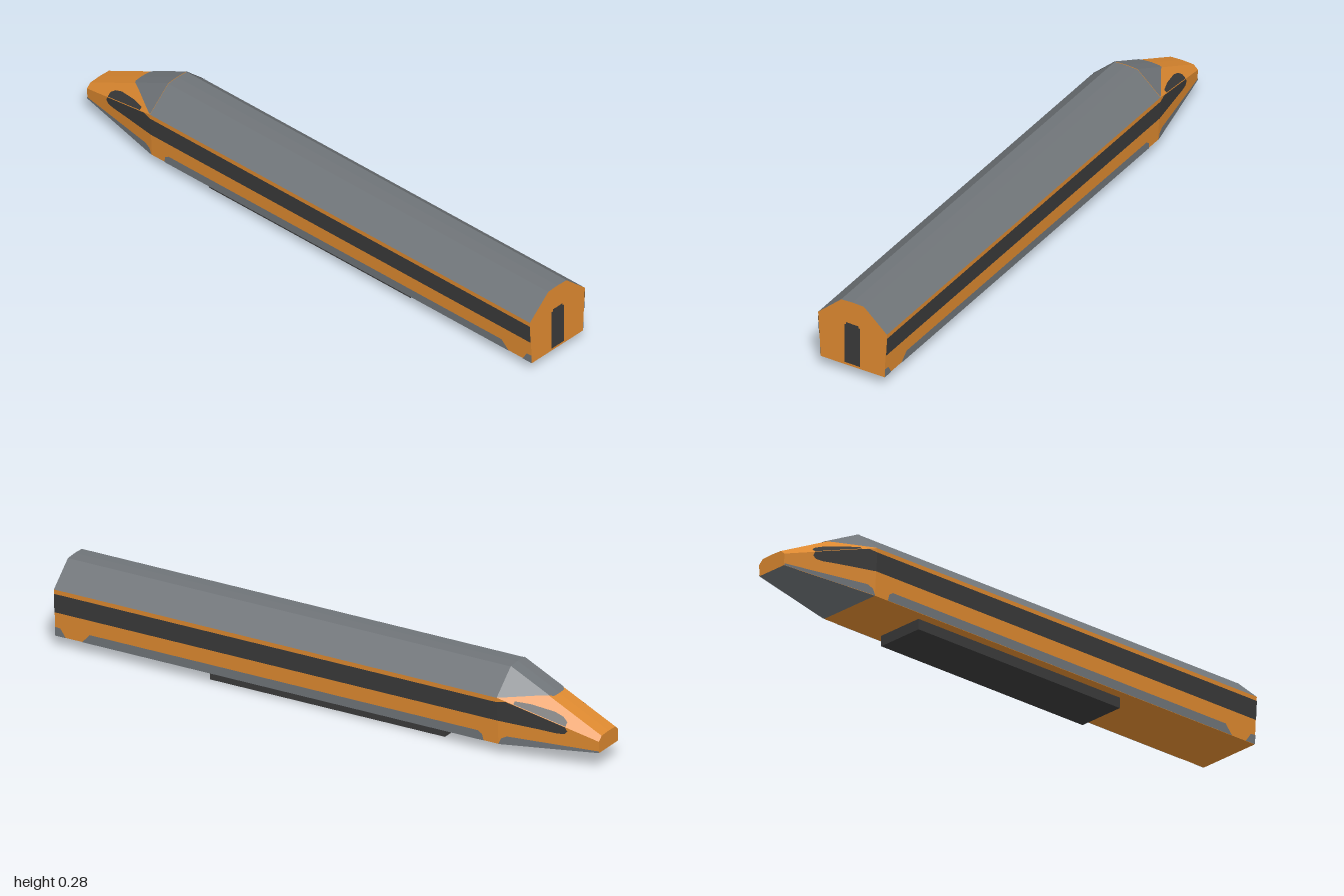
import * as THREE from 'three';

const orange = new THREE.MeshStandardMaterial({ name: 'orange', color: 0xdc882f, side: THREE.DoubleSide });
const grey = new THREE.MeshStandardMaterial({ name: 'grey', color: 0x6f7478, side: THREE.DoubleSide });
const dark = new THREE.MeshStandardMaterial({ name: 'charcoal', color: 0x393939, side: THREE.DoubleSide });

const NOSE = -0.66; // z where the body ends and the nose begins
const taper = z => Math.max(0, (NOSE - z) / 0.34);

// Planes of the right-hand facets; the nose facets lean in with the taper
const sideX = (y, z) => 0.12 + 0.0606 * (y - 0.038) - 0.0638 * taper(z);
const slopeY = (x, z) => 0.203 + 0.885 * (0.13 - x) - 0.165 * taper(z);
const crownY = (x, z) => 0.282 - 0.0465 * Math.abs(x) - 0.165 * taper(z);

// Closed cross-section, counter-clockwise seen from the front
function section(z) {
  const t = taper(z);
  const bottom = 0.038 + 0.022 * t, shoulder = 0.203 - 0.103 * t;
  const half = [
    [sideX(bottom, z), bottom], [sideX(shoulder, z), shoulder], [0.043, crownY(0.043, z)],
  ];
  const left = half.slice().reverse().map(([x, y]) => [-x, y]);
  return [...half, [0, crownY(0, z)], ...left].map(([x, y]) => new THREE.Vector3(x, y, z));
}

// Flat-shaded mesh from convex polygons
function faces(name, material, polygons) {
  const points = [];
  for (const p of polygons)
    for (let i = 1; i < p.length - 1; i++) points.push(p[0], p[i], p[i + 1]);
  const geometry = new THREE.BufferGeometry().setFromPoints(points);
  geometry.computeVertexNormals();
  const mesh = new THREE.Mesh(geometry, material);
  mesh.name = name;
  return mesh;
}

// Flat outline laid onto a facet by a mapping rule
function paint(name, material, outline, place) {
  const shape = new THREE.Shape(outline.map(([a, b]) => new THREE.Vector2(a, b)));
  const geometry = new THREE.ShapeGeometry(shape);
  const pos = geometry.attributes.position;
  for (let i = 0; i < pos.count; i++) pos.setXYZ(i, ...place(pos.getX(i), pos.getY(i)));
  geometry.computeVertexNormals();
  const mesh = new THREE.Mesh(geometry, material);
  mesh.name = name;
  return mesh;
}

export function createModel() {
  const model = new THREE.Group();
  model.name = 'railCar';
  const front = section(1), neck = section(NOSE), tip = section(-1);
  const strip = (a, b, i) => {
    const j = (i + 1) % a.length;
    return [a[i], b[i], b[j], a[j]];
  };
  const strips = (a, b, list) => list.map(i => strip(a, b, i));

  // Shell
  model.add(
    faces('bodySides', orange, strips(front, neck, [0, 5])),
    faces('bodyRoof', grey, strips(front, neck, [1, 2, 3, 4])),
    faces('bodyFloor', orange, strips(front, neck, [6])),
    faces('noseShell', orange, strips(neck, tip, [0, 1, 2, 3, 4, 5])),
    faces('noseFloor', grey, strips(neck, tip, [6])),
    faces('frontWall', orange, [front]),
    faces('noseEnd', orange, [tip.slice().reverse()]),
  );

  // Painted side details, outlined as z, y
  const sideDetails = [
    ['windowBand', dark, [[1, 0.122], [1, 0.188], [NOSE, 0.188], [NOSE, 0.122]]],
    ['noseWindowSide', dark, [[NOSE, 0.122], [NOSE, 0.188], [-0.69, 0.193], [-0.715, 0.186],
      [-0.888, 0.134], [-0.895, 0.12], [-0.885, 0.11], [-0.86, 0.108], [-0.8, 0.113]]],
    ['frontSkirt', grey, [[1, 0.038], [1, 0.07], [0.98, 0.068], [0.965, 0.045], [0.96, 0.038]]],
    ['sideSkirt', grey, [[0.9, 0.038], [0.89, 0.048], [0.87, 0.07], [-0.585, 0.07],
      [-0.6, 0.06], [-0.605, 0.038]]],
    ['noseSkirt', grey, [[NOSE, 0.038], [-0.67, 0.06], [-0.69, 0.07], [-1, 0.066], [-1, 0.06]]],
  ];
  // Painted details on the sloping nose roof, outlined as x, z
  const slopeDetails = [
    ['noseRoofSlope', grey, [[0.13, NOSE], [0.043, NOSE], [0.043, -0.805], [0.06, -0.775], [0.124, -0.672]]],
    ['noseWindowTop', dark, [[0.1187, -0.715], [0.083, -0.888], [0.07, -0.888], [0.065, -0.87],
      [0.068, -0.84], [0.09, -0.765], [0.11, -0.715]]],
  ];
  for (const s of [1, -1]) {
    for (const [name, material, outline] of sideDetails)
      model.add(paint(name, material, outline, (z, y) => [s * (sideX(y, z) + 0.0015), y, z]));
    for (const [name, material, outline] of slopeDetails)
      model.add(paint(name, material, outline, (x, z) => [s * x, slopeY(x, z) + 0.002, z]));
    // Rounded end of the grey roof on the nose crown
    model.add(paint('noseRoofCrown', grey,
      [[0, NOSE], [0.043, NOSE], [0.043, -0.805], [0.03, -0.815], [0, -0.817]],
      (x, z) => [s * x, crownY(x, z) + 0.002, z]));
  }

  // Door in the front wall
  model.add(paint('frontDoor', dark,
    [[-0.03, 0.047], [0.03, 0.047], [0.03, 0.192], [0.023, 0.192], [0.023, 0.2],
      [-0.023, 0.2], [-0.023, 0.192], [-0.03, 0.192]],
    (x, y) => [x, y, 1.0015]));

  // Underfloor equipment
  const under = new THREE.Mesh(new THREE.BoxGeometry(0.176, 0.037, 0.88), dark);
  under.name = 'underfloorBox';
  under.position.y = 0.0185;
  model.add(under);
  return model;
}
